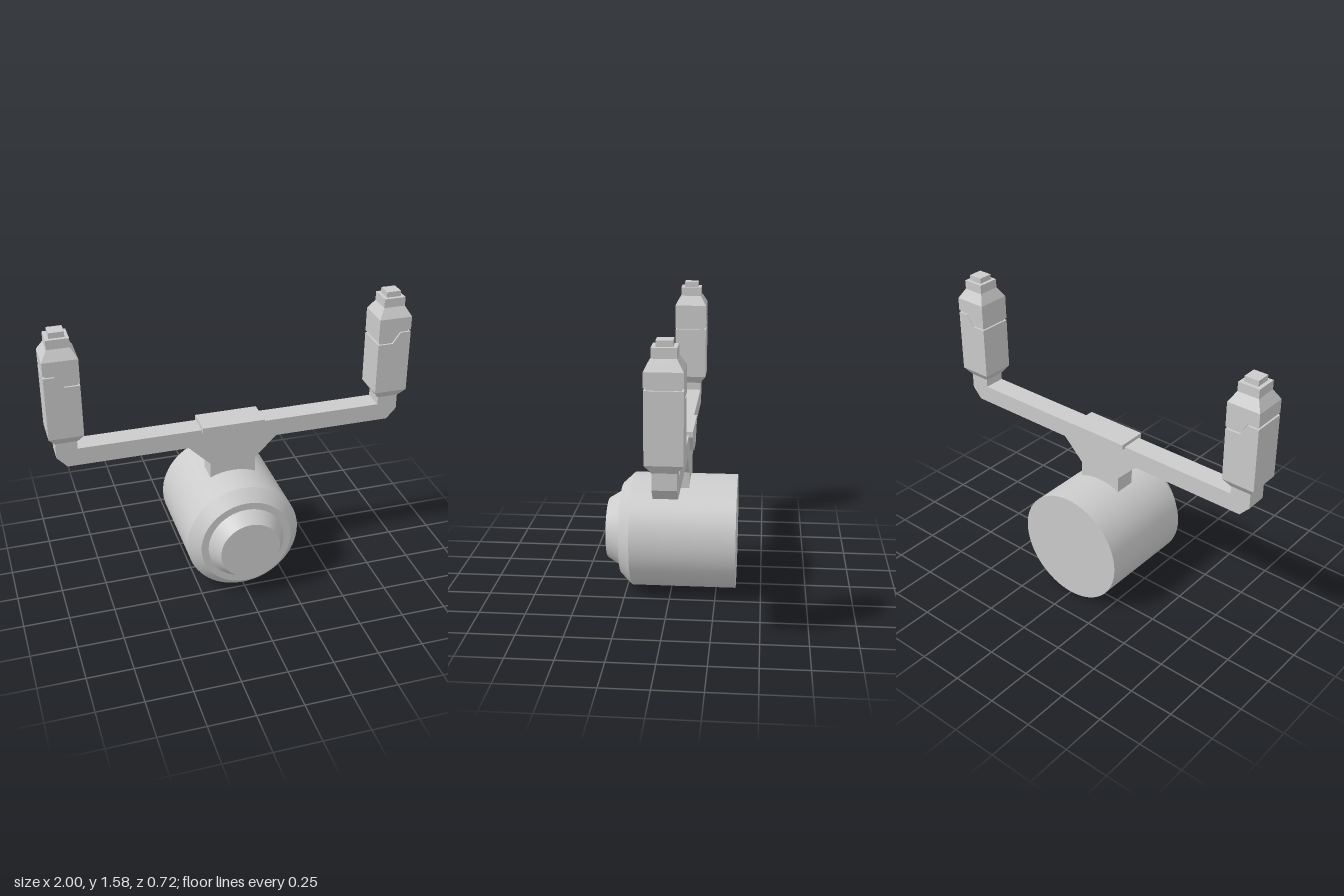
import * as THREE from 'three';

const Z = -0.04; // depth centre of the bracket and both side units
const flat = new THREE.MeshStandardMaterial({ color: 0xcccccc, flatShading: true });
const smooth = new THREE.MeshStandardMaterial({ color: 0xcccccc });

function add(parent, name, geometry, material = flat) {
  const mesh = new THREE.Mesh(geometry, material);
  mesh.name = name;
  parent.add(mesh);
  return mesh;
}

// Outline in x/y, extruded evenly about z = Z
function slab(points, depth) {
  const shape = new THREE.Shape(points.map(([x, y]) => new THREE.Vector2(x, y)));
  return new THREE.ExtrudeGeometry(shape, { depth, bevelEnabled: false }).translate(0, 0, Z - depth / 2);
}

// Square section running from half-width a at y0 to half-width b at y1
function taper(x, y0, y1, a, b) {
  return new THREE.CylinderGeometry(b * Math.SQRT2, a * Math.SQRT2, y1 - y0, 4)
    .rotateY(Math.PI / 4)
    .translate(x, (y0 + y1) / 2, Z);
}

// Barrel turned around the z axis, one surface per band for crisp edges
function barrel() {
  const group = new THREE.Group();
  group.name = 'barrel';
  const bands = [
    ['barrelBack', 0, -0.36, 0.318, -0.36],
    ['barrelBody', 0.318, -0.36, 0.318, 0.215],
    ['barrelChamfer', 0.318, 0.215, 0.257, 0.28],
    ['frontRing', 0.257, 0.28, 0.217, 0.28],
    ['lensCone', 0.217, 0.28, 0.168, 0.36],
    ['lensFace', 0.168, 0.36, 0, 0.36],
  ];
  for (const [name, r0, z0, r1, z1] of bands) {
    const profile = [new THREE.Vector2(r0, z0), new THREE.Vector2(r1, z1)];
    add(group, name, new THREE.LatheGeometry(profile, 64).rotateX(Math.PI / 2), smooth);
  }
  group.position.y = 0.32;
  return group;
}

// Upright unit at the end of an arm; side is +1 or -1
function uprightUnit(side) {
  const group = new THREE.Group();
  group.name = side > 0 ? 'leftUnit' : 'rightUnit';
  const c = 0.9075, h = 0.0925, x = side * c;
  const mirror = (points) => points.map(([px, py]) => [side * px, py]);
  // Stepped seam, from the outer edge to the inner edge
  const seam = (dy) => [[c + h, 1.363 + dy], [0.941, 1.363 + dy], [0.898, 1.302 + dy], [c - h, 1.302 + dy]];

  add(group, 'lowerTaper', taper(x, 0.965, 1.01, 0.06, h));
  add(group, 'lowerBody', slab(mirror([[c - h, 1.01], [c + h, 1.01], ...seam(0)]), 2 * h));
  add(group, 'seamCore', new THREE.BoxGeometry(0.163, 0.2, 0.163).translate(x, 1.33, Z));
  add(group, 'upperBody', slab(mirror([[c - h, 1.45], [c + h, 1.45], ...seam(0.012)]), 2 * h));
  add(group, 'upperTaper', taper(x, 1.45, 1.505, h, 0.06));
  add(group, 'neck', taper(x, 1.505, 1.555, 0.06, 0.06));
  add(group, 'tip', taper(x, 1.555, 1.585, 0.04, 0.04));
  return group;
}

export function createModel() {
  const model = new THREE.Group();
  model.name = 'model';
  model.add(barrel());

  // Arms, end posts and central neck share one symmetric outline
  const half = [
    [0.13, 0.56], [0.13, 0.70], [0.25, 0.82], [0.91, 0.82], [0.965, 0.88],
    [0.965, 0.97], [0.85, 0.97], [0.85, 0.92],
  ];
  const mirrored = half.map(([x, y]) => [-x, y]).reverse();
  add(model, 'armBracket', slab([...half, ...mirrored], 0.12));

  // Thicker tapered plate wrapped over the centre of the bar
  add(model, 'centrePlate', slab([
    [-0.07, 0.805], [0.07, 0.805], [0.175, 0.91], [0.175, 0.94], [-0.175, 0.94], [-0.175, 0.91],
  ], 0.162));

  for (const side of [-1, 1]) model.add(uprightUnit(side));
  return model;
}
